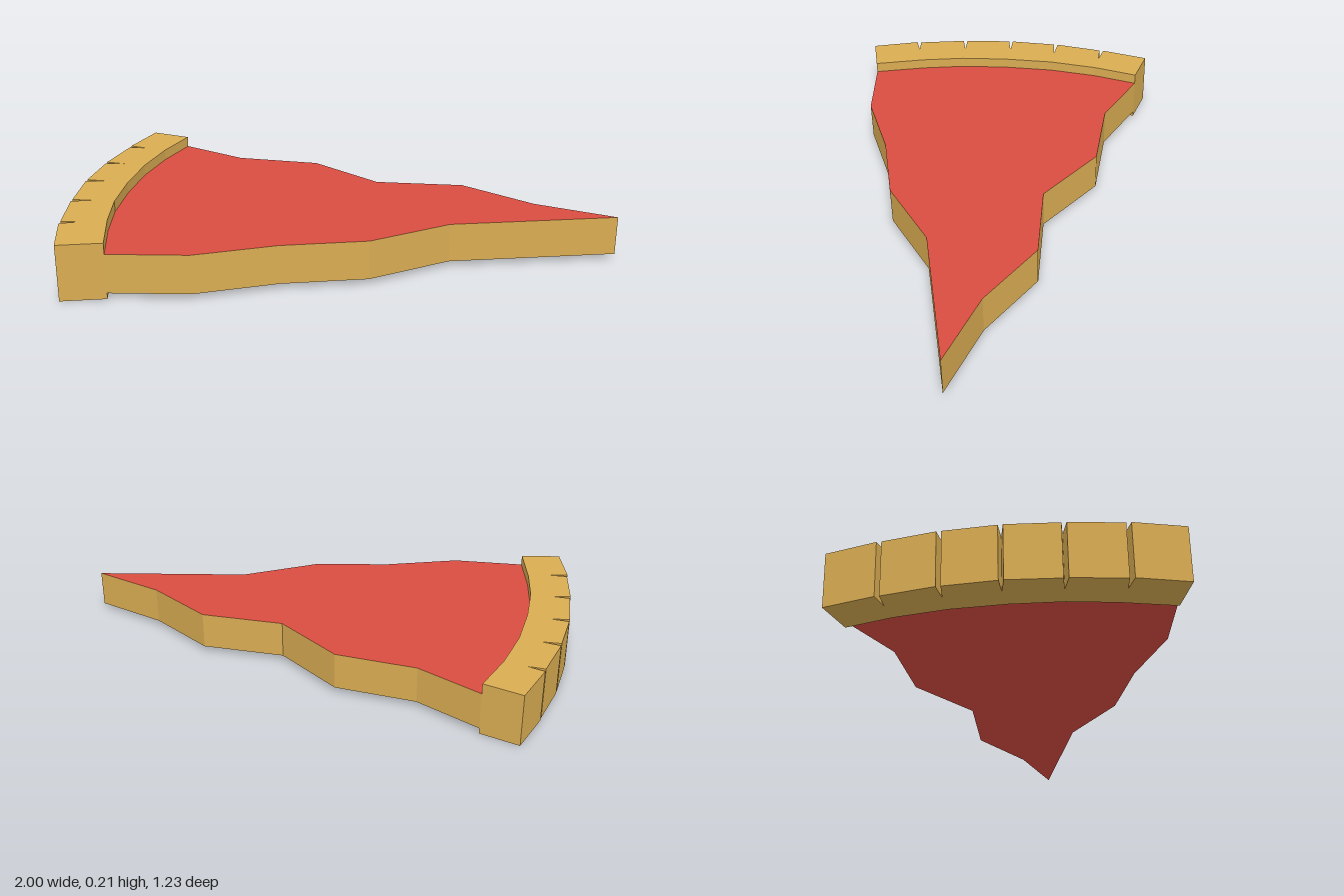
import * as THREE from 'three';

const crustMat = new THREE.MeshStandardMaterial({ color: 0xd9ac52 });
crustMat.name = 'bakedCrust';
const sauceMat = new THREE.MeshStandardMaterial({ color: 0xda4d40 });
sauceMat.name = 'redSauce';

// Extrude an outline of [x, z] points upward from y0 to y1.
function slab(name, points, y0, y1, materials) {
  const shape = new THREE.Shape(points.map(([x, z]) => new THREE.Vector2(x, -z)));
  const geo = new THREE.ExtrudeGeometry(shape, { depth: y1 - y0, bevelEnabled: false });
  geo.rotateX(-Math.PI / 2);
  geo.translate(0, y0, 0);
  const mesh = new THREE.Mesh(geo, materials);
  mesh.name = name;
  return mesh;
}

export function createModel() {
  const group = new THREE.Group();
  group.name = 'pizzaSlice';

  // Curve where the filling meets the crust, back to front
  const inner = [[-0.487, -0.53], [-0.59, -0.375], [-0.68, -0.2], [-0.75, -0.01],
    [-0.8, 0.175], [-0.825, 0.35], [-0.838, 0.555]];

  // Wavy cut edges, from the front of the crust round the tip to the back
  const cut = [[-0.555, 0.613], [-0.25, 0.585], [0.065, 0.602], [0.38, 0.507], [1, 0.55],
    [0.745, 0.37], [0.537, 0.133], [0.217, 0.04], [0.02, -0.22], [-0.28, -0.338]];
  group.add(slab('filling', [...inner, ...cut], 0.022, 0.167, [sauceMat, crustMat]));

  // Outer crust edge with a narrow wedge notch at each joint: [mouth x, z, tip x, z]
  const notches = [[-0.73, -0.445, -0.668, -0.415], [-0.83, -0.257, -0.757, -0.232],
    [-0.905, -0.065, -0.832, -0.047], [-0.955, 0.137, -0.883, 0.15], [-0.99, 0.345, -0.921, 0.352]];
  const outer = [[-0.62, -0.617]];
  for (const [x, z, tx, tz] of notches) {
    outer.push([x + 0.003, z - 0.008], [tx, tz], [x - 0.003, z + 0.008]);
  }
  outer.push([-1, 0.545]);
  group.add(slab('crust', [...outer, ...inner.slice().reverse()], 0, 0.208, crustMat));

  return group;
}
